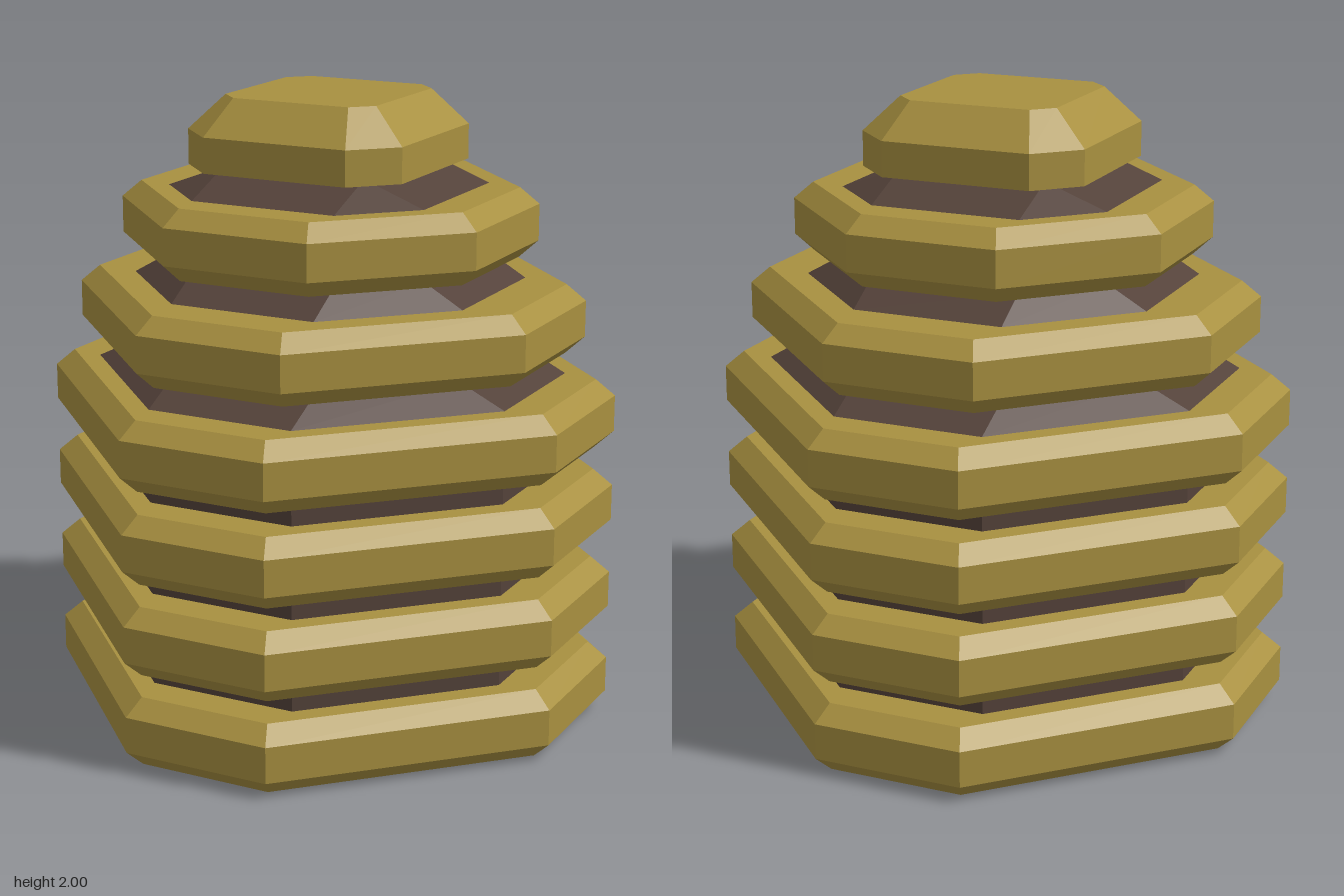
import * as THREE from 'three';

const gold = new THREE.MeshStandardMaterial({ color: 0xa89040, flatShading: true });
const brown = new THREE.MeshStandardMaterial({ color: 0x54423a, flatShading: true });
const CUT = 0.345; // corner cut shared by every tier

// Square of half-width w with cut corners; f is half the length of the straight sides
function octagon(w, f, y) {
  return [[f, w], [w, f], [w, -f], [f, -w], [-f, -w], [-w, -f], [-w, f], [-f, w]]
    .map(([x, z]) => [x, y, z]);
}

// Octagon moved inwards evenly by d, for bevels
const inset = (w, d, y) => octagon(w - d, w - CUT - d * Math.tan(Math.PI / 8), y);

// Joins stacked octagons with flat sides and closes both ends
function loft(sections) {
  const pos = [];
  const tri = (a, b, c) => pos.push(...a, ...b, ...c);
  for (let s = 0; s < sections.length - 1; s++) {
    const lo = sections[s], hi = sections[s + 1];
    for (let i = 0; i < 8; i++) {
      const j = (i + 1) % 8;
      tri(lo[i], lo[j], hi[j]);
      tri(lo[i], hi[j], hi[i]);
    }
  }
  const bottom = sections[0], top = sections[sections.length - 1];
  for (let i = 1; i < 7; i++) {
    tri(bottom[0], bottom[i + 1], bottom[i]);
    tri(top[0], top[i], top[i + 1]);
  }
  const geo = new THREE.BufferGeometry();
  geo.setAttribute('position', new THREE.Float32BufferAttribute(pos, 3));
  geo.computeVertexNormals();
  return geo;
}

export function createModel() {
  const group = new THREE.Group();
  const add = (name, sections, material) => {
    const mesh = new THREE.Mesh(loft(sections), material);
    mesh.name = name;
    group.add(mesh);
  };

  // Bevelled rings: half-width and base height
  const rings = [[0.803, 0], [0.803, 0.297], [0.803, 0.593], [0.803, 0.89],
    [0.727, 1.187], [0.61, 1.482]];
  rings.forEach(([w, y], i) => add(`ring${i + 1}`, [
    inset(w, 0.057, y), inset(w, 0, y + 0.055),
    inset(w, 0, y + 0.172), inset(w, 0.057, y + 0.224),
  ], gold));

  // Cap with a wide sloping top edge
  add('cap', [inset(0.435, 0, 1.778), inset(0.435, 0, 1.89), inset(0.435, 0.11, 2)], gold);

  // Straight spacers between the lower rings
  for (let i = 0; i < 3; i++) {
    const y = 0.224 + i * 0.297;
    add(`spacer${i + 1}`, [inset(0.682, 0, y), inset(0.682, 0, y + 0.073)], brown);
  }

  // Tapered collars between the upper rings: base width, top width, base height
  const collars = [[0.682, 0.575, 1.114], [0.58, 0.49, 1.411], [0.487, 0.35, 1.706]];
  collars.forEach(([w0, w1, y], i) => add(`collar${i + 1}`,
    [inset(w0, 0, y), inset(w1, 0, y + 0.073)], brown));

  return group;
}
